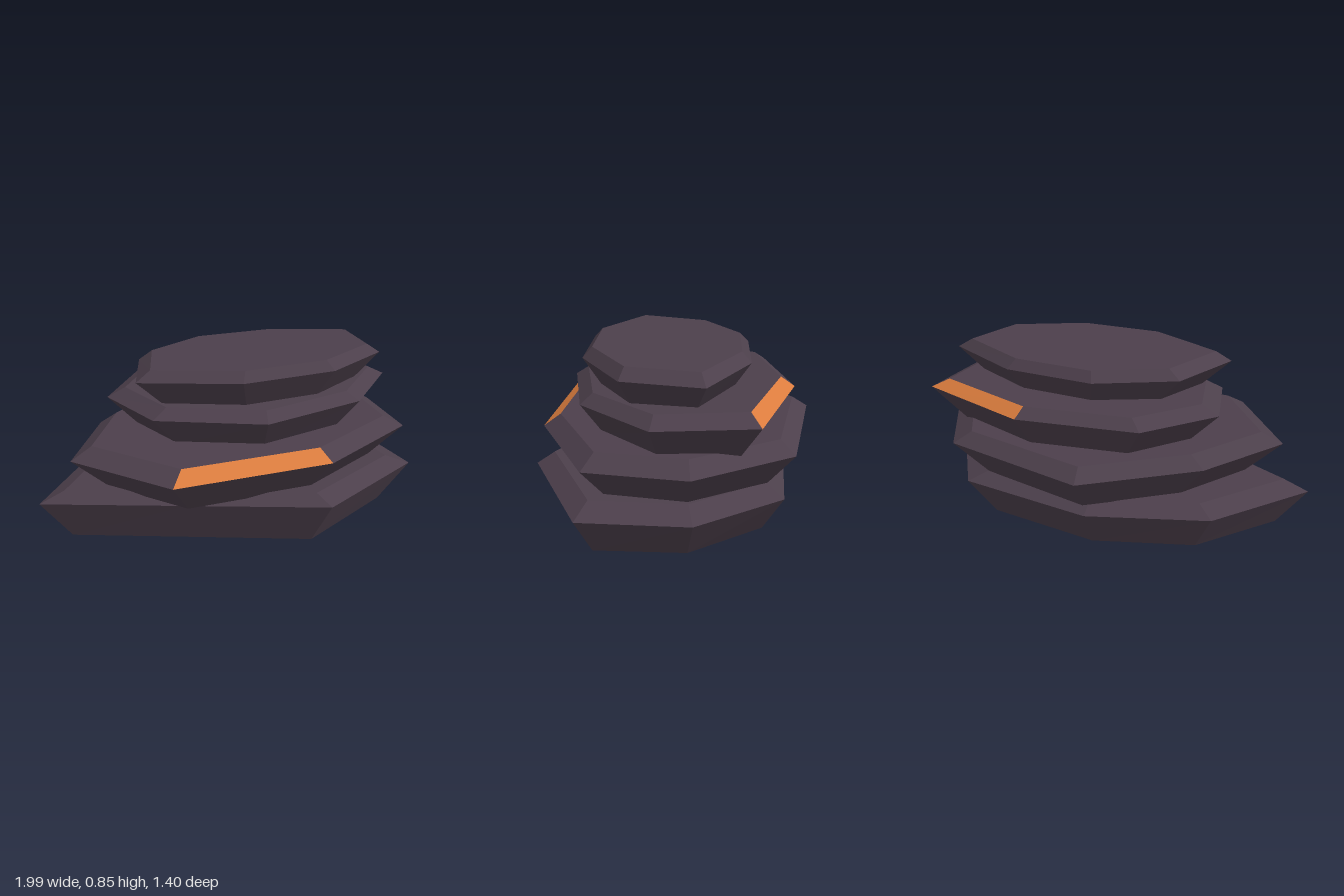
import * as THREE from 'three';

const stone = new THREE.MeshStandardMaterial({ color: 0x4c3f4b, flatShading: true });
stone.name = 'dark purple stone';
const ember = new THREE.MeshStandardMaterial({ color: 0xdb7c3e, flatShading: true });
ember.name = 'orange edge';

// Each slab: widest outline (x, z, counter-clockwise from above), heights of
// bottom, rim and top, tilt of the upper rings along z, and the orange bevel.
const slabs = [
  {
    name: 'bottomSlab', y: [0.005, 0.21, 0.258], lower: 0.845, upper: 0.87, tilt: 0.015, centre: [-0.02, 0.06],
    rim: [[0.96, 0.39], [0.96, -0.12], [0.64, -0.53], [-0.08, -0.58], [-0.65, -0.36], [-1, 0.12], [-0.35, 0.41], [0.3, 0.7]],
  },
  {
    name: 'lowerMiddleSlab', y: [0.245, 0.43, 0.485], lower: 0.79, upper: 0.88, tilt: 0, centre: [0.08, -0.02], bright: 6,
    rim: [[0.92, 0.36], [0.99, -0.11], [0.68, -0.57], [-0.1, -0.7], [-0.58, -0.3], [-0.84, 0.16], [-0.48, 0.63], [0.32, 0.65]],
  },
  {
    name: 'upperMiddleSlab', y: [0.465, 0.635, 0.68], lower: 0.79, upper: 0.88, tilt: -0.015, centre: [0.2, -0.03], bright: 2,
    rim: [[0.6, 0.41], [0.97, 0.06], [0.93, -0.4], [0.28, -0.59], [-0.32, -0.47], [-0.58, -0.11], [-0.46, 0.29], [0.03, 0.53]],
  },
  {
    name: 'topSlab', y: [0.665, 0.805, 0.853], lower: 0.79, upper: 0.89, tilt: 0.012, centre: [0.2, 0.03],
    rim: [[0.84, 0.2], [0.91, -0.17], [0.46, -0.37], [-0.02, -0.37], [-0.39, -0.16], [-0.52, 0.23], [-0.06, 0.44], [0.44, 0.42]],
  },
];

function faceMesh(name, triangles, material) {
  const geometry = new THREE.BufferGeometry().setFromPoints(triangles);
  geometry.computeVertexNormals();
  const mesh = new THREE.Mesh(geometry, material);
  mesh.name = name;
  return mesh;
}

function buildSlab({ name, y, lower, upper, tilt, centre, bright, rim }) {
  const [cx, cz] = centre;
  const ring = (scale, height, slope) => rim.map(([x, z]) =>
    new THREE.Vector3(cx + (x - cx) * scale, height + z * slope, cz + (z - cz) * scale));
  const rings = [ring(lower, y[0], 0), ring(1, y[1], tilt), ring(upper, y[2], tilt)];
  const bottomCentre = new THREE.Vector3(cx, y[0], cz);
  const topCentre = new THREE.Vector3(cx, y[2] + cz * tilt, cz);
  const body = [], edge = [];

  rim.forEach((_, i) => {
    const j = (i + 1) % rim.length;
    // undercut side and bevel
    for (let r = 0; r < 2; r++) {
      const [a, b] = [rings[r], rings[r + 1]];
      const target = r === 1 && i === bright ? edge : body;
      target.push(a[i], a[j], b[j], a[i], b[j], b[i]);
    }
    // flat caps
    body.push(topCentre, rings[2][i], rings[2][j]);
    body.push(bottomCentre, rings[0][j], rings[0][i]);
  });

  const group = new THREE.Group();
  group.name = name;
  group.add(faceMesh(name + 'Body', body, stone));
  if (edge.length) group.add(faceMesh(name + 'OrangeEdge', edge, ember));
  return group;
}

export function createModel() {
  const model = new THREE.Group();
  model.name = 'stackedRock';
  slabs.forEach((slab) => model.add(buildSlab(slab)));
  return model;
}
